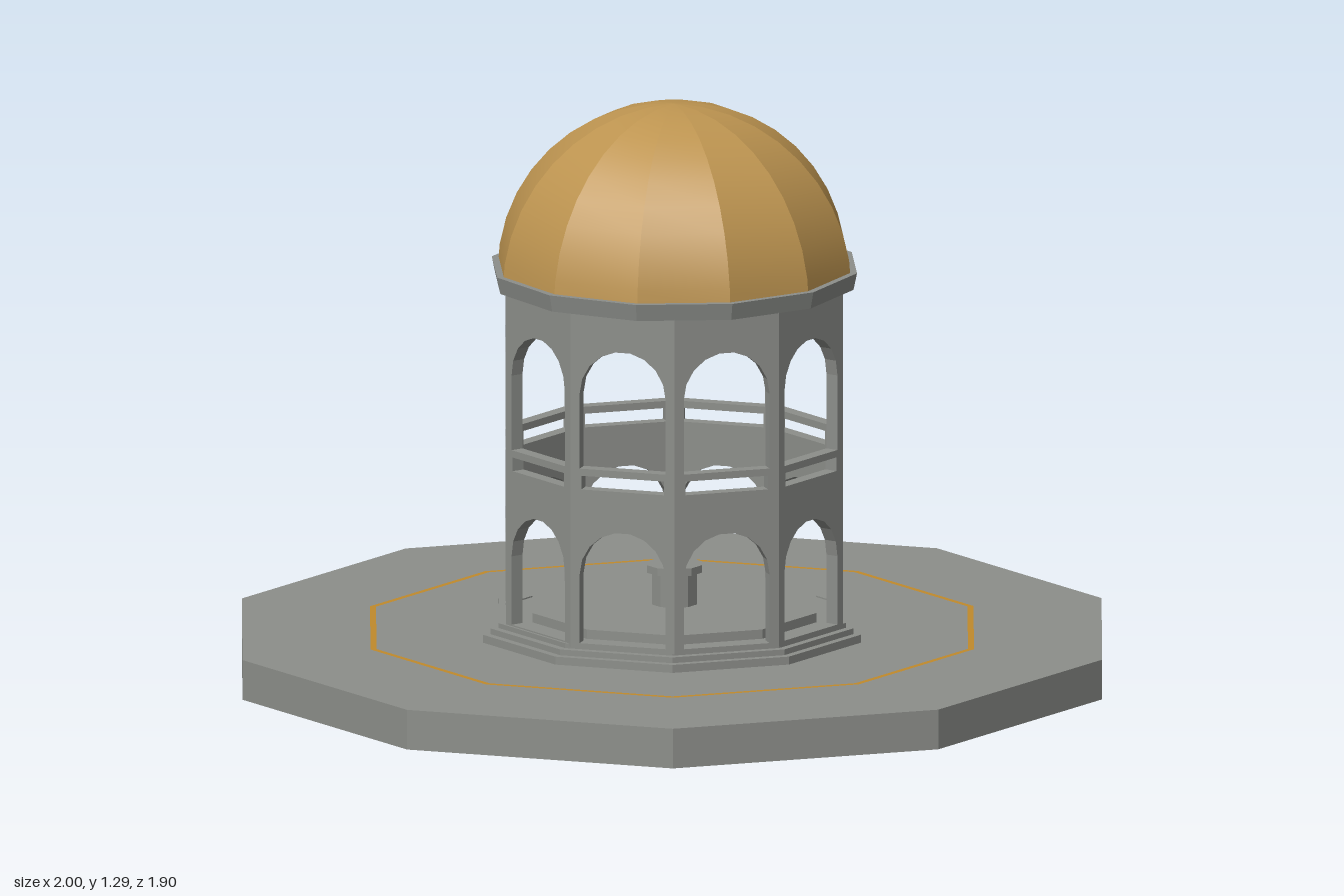
import * as THREE from 'three';
import { mergeGeometries } from 'three/addons/utils/BufferGeometryUtils.js';

const SIDES = 10;
const CENTRE_Z = 0.017;   // the tower sits slightly forward on its base
const APOTHEM = 0.373;    // centre to outer wall face
const WALL = 0.03;

export function createModel() {
  const model = new THREE.Group();
  const stone = new THREE.MeshStandardMaterial({ color: 0x8c8e8a, flatShading: true });
  stone.name = 'grey stone';
  const gold = new THREE.MeshStandardMaterial({ color: 0xbd9450, side: THREE.DoubleSide });
  gold.name = 'dome gold';
  const inlay = new THREE.MeshStandardMaterial({ color: 0xc08a2c, side: THREE.DoubleSide });
  inlay.name = 'inlay gold';

  const add = (name, geometry, material, parent = model) => {
    const mesh = new THREE.Mesh(geometry, material);
    mesh.name = name;
    parent.add(mesh);
    return mesh;
  };
  // Prism with a corner on the x axis
  const prism = (name, rTop, rBottom, y0, y1, parent = model, sides = SIDES) => {
    const g = new THREE.CylinderGeometry(rTop, rBottom, y1 - y0, sides, 1, false, Math.PI / 2);
    return add(name, g.translate(0, (y0 + y1) / 2, 0), stone, parent);
  };

  // Plaza and its inlaid line
  prism('plaza', 1, 1, 0, 0.09);
  const line = new THREE.RingGeometry(0.688, 0.702, SIDES).rotateX(-Math.PI / 2);
  add('inlaidLine', line.translate(0, 0.093, 0), inlay);

  // Steps
  [[0.44, 0.108], [0.422, 0.121], [0.404, 0.132]].forEach(([r, top], i) =>
    prism('step' + (i + 1), r, r, 0.09, top));

  const tower = new THREE.Group();
  tower.name = 'tower';
  tower.position.z = CENTRE_Z;
  model.add(tower);

  // Inner floor and pedestal
  prism('innerFloor', 0.33, 0.33, 0.12, 0.153, tower);
  prism('pedestalStem', 0.052, 0.052, 0.15, 0.226, tower);
  prism('pedestalCap', 0.064, 0.064, 0.226, 0.243, tower);

  // Wall panel with two arches and a slot under the upper rail
  const half = APOTHEM * Math.tan(Math.PI / SIDES);
  const rect = (Type, w, y0, y1) => new Type([[-w, y0], [w, y0], [w, y1], [-w, y1]]
    .map(p => new THREE.Vector2(...p)));
  const arch = (bottom, top, r) => {
    const pts = [new THREE.Vector2(-r, bottom), new THREE.Vector2(r, bottom)];
    for (let i = 0; i <= 9; i++) {
      const a = Math.PI * i / 9;
      pts.push(new THREE.Vector2(r * Math.cos(a), top - r + r * Math.sin(a) / Math.sin(Math.PI * 4 / 9)));
    }
    return new THREE.Path(pts);
  };
  const panel = rect(THREE.Shape, half, 0.125, 0.888);
  panel.holes.push(arch(0.135, 0.39, 0.1), rect(THREE.Path, 0.096, 0.484, 0.515),
    arch(0.531, 0.8, 0.1));
  const panelGeometry = new THREE.ExtrudeGeometry(panel, { depth: WALL, bevelEnabled: false })
    .translate(0, 0, APOTHEM - WALL);
  for (let i = 0; i < SIDES; i++) {
    add('arcadePanel', panelGeometry, stone, tower).rotation.y = i * 2 * Math.PI / SIDES;
  }

  // Cornice ring
  const profile = [[0.37, 0.882], [0.405, 0.882], [0.413, 0.92], [0.37, 0.92], [0.37, 0.882]]
    .map(p => new THREE.Vector2(...p));
  add('cornice', new THREE.LatheGeometry(profile, 12), stone, tower);

  // Dome of twelve gores, flat across and smooth upwards
  const curve = [];
  for (let i = 0; i <= 10; i++) {
    const a = Math.PI / 2 * i / 10;
    curve.push(new THREE.Vector2(i === 10 ? 0 : 0.4 * Math.cos(a), 0.886 + 0.4 * Math.sin(a)));
  }
  const gores = [];
  for (let i = 0; i < 12; i++) {
    const gore = new THREE.LatheGeometry(curve, 1, i * Math.PI / 6, Math.PI / 6);
    gore.computeVertexNormals();
    gores.push(gore);
  }
  add('dome', mergeGeometries(gores), gold, tower);

  return model;
}
